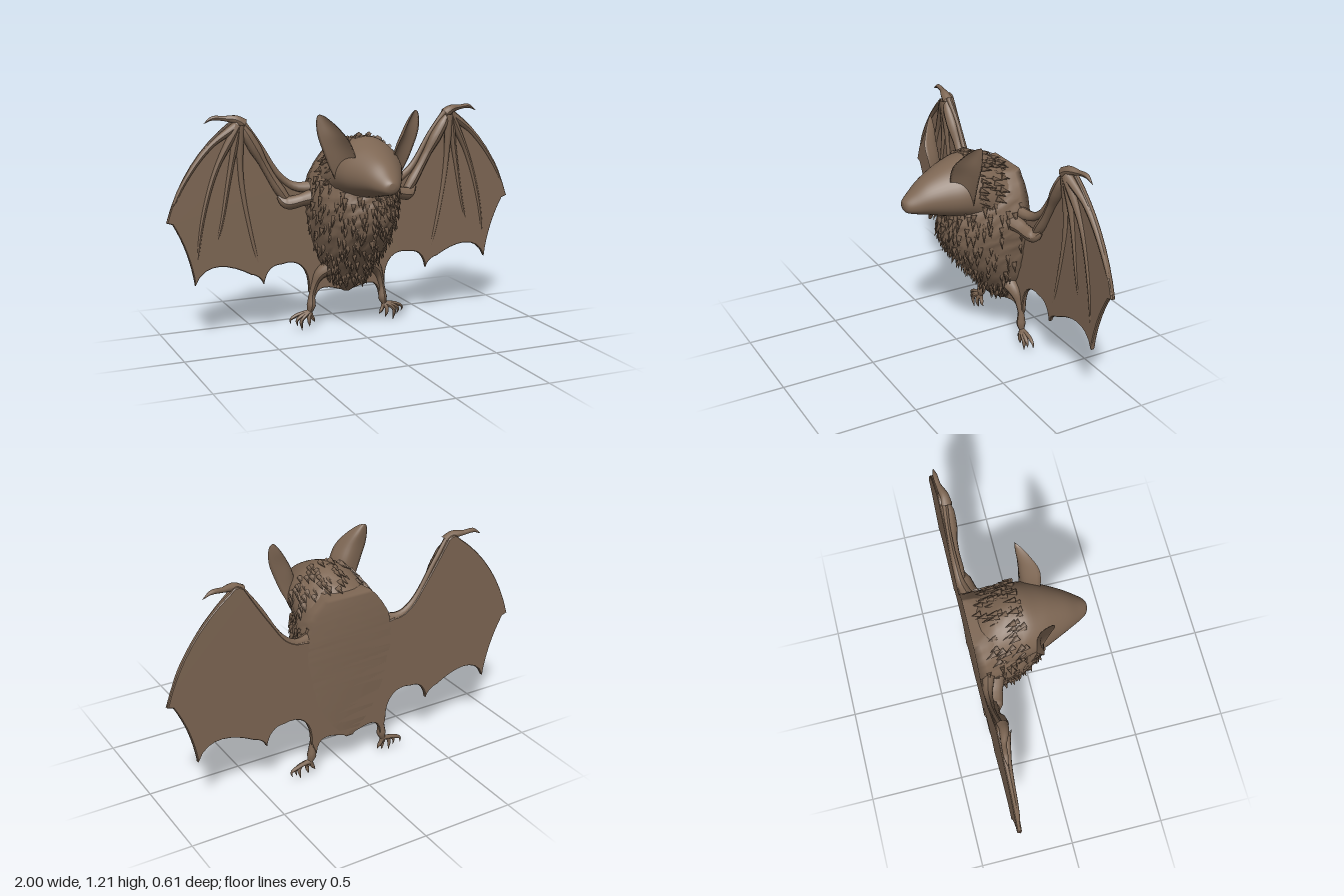
import * as THREE from 'three';
import { mergeGeometries } from 'three/addons/utils/BufferGeometryUtils.js';

const WALL = -0.3; // flat back plane

// Catmull-Rom refinement of a short table of section rows
function refine(rows, steps) {
  const out = [];
  const at = i => rows[Math.max(0, Math.min(rows.length - 1, i))];
  for (let i = 0; i < rows.length - 1; i++) {
    for (let s = 0; s < steps; s++) {
      const t = s / steps, a = at(i - 1), b = at(i), c = at(i + 1), d = at(i + 2);
      out.push(b.map((_, k) => b[k] + 0.5 * t * (c[k] - a[k] + t * (2 * a[k] - 5 * b[k] + 4 * c[k] - d[k]
        + t * (3 * (b[k] - c[k]) + d[k] - a[k])))));
    }
  }
  out.push(rows[rows.length - 1]);
  return out;
}

// Closed skin over rings of Vector3, capped at both ends, always facing outwards
function loft(rings) {
  const n = rings[0].length, m = rings.length, pts = rings.flat(), idx = [];
  for (let i = 0; i < m - 1; i++) for (let j = 0; j < n; j++) {
    const a = i * n + j, b = i * n + (j + 1) % n;
    idx.push(a, b, a + n, b, b + n, a + n);
  }
  const middle = ring => ring.reduce((s, p) => s.add(p), new THREE.Vector3()).divideScalar(n);
  const c0 = pts.push(middle(rings[0])) - 1, c1 = pts.push(middle(rings[m - 1])) - 1;
  for (let j = 0; j < n; j++) {
    const k = (j + 1) % n, e = (m - 1) * n;
    idx.push(c0, k, j, c1, e + j, e + k);
  }
  let volume = 0;
  const cross = new THREE.Vector3();
  for (let i = 0; i < idx.length; i += 3)
    volume += cross.crossVectors(pts[idx[i]], pts[idx[i + 1]]).dot(pts[idx[i + 2]]);
  if (volume < 0) idx.reverse();
  const g = new THREE.BufferGeometry().setFromPoints(pts);
  g.setIndex(idx);
  g.computeVertexNormals();
  return g;
}

// Tube whose radius follows a list, kept in front of the back plane
function taperedTube(points, radii, segments = 20, sides = 10) {
  const curve = new THREE.CatmullRomCurve3(points.map(p => new THREE.Vector3(...p)));
  const g = new THREE.TubeGeometry(curve, segments, 1, sides);
  const pos = g.attributes.position, v = new THREE.Vector3();
  for (let i = 0; i < pos.count; i++) {
    const t = Math.floor(i / (sides + 1)) / segments, f = t * (radii.length - 1);
    const k = Math.min(radii.length - 2, Math.floor(f));
    const r = THREE.MathUtils.lerp(radii[k], radii[k + 1], f - k);
    const c = curve.getPointAt(t);
    v.fromBufferAttribute(pos, i).sub(c).multiplyScalar(r).add(c);
    pos.setXYZ(i, v.x, v.y, Math.max(WALL, v.z));
  }
  g.computeVertexNormals();
  return g;
}

function seeded(seed) {
  return () => (seed = (seed * 16807) % 2147483647) / 2147483647;
}

// Small pointed locks scattered over a surface, lying along a direction
function furTufts(surface, count, flow, accept, seed) {
  const rand = seeded(seed), pos = surface.attributes.position, nor = surface.attributes.normal;
  const p = new THREE.Vector3(), n = new THREE.Vector3(), up = new THREE.Vector3(0, 1, 0), locks = [];
  for (let tries = 0; locks.length < count && tries < 20000; tries++) {
    const i = Math.floor(rand() * pos.count);
    p.fromBufferAttribute(pos, i);
    n.fromBufferAttribute(nor, i);
    if (!accept(p)) continue;
    const dir = flow.clone().addScaledVector(n, 0.4).normalize();
    const g = new THREE.ConeGeometry(0.012 + 0.006 * rand(), 0.045 + 0.02 * rand(), 5);
    g.applyQuaternion(new THREE.Quaternion().setFromUnitVectors(up, dir));
    p.addScaledVector(dir, 0.008);
    g.translate(p.x + (rand() - 0.5) * 0.015, p.y + (rand() - 0.5) * 0.02, p.z);
    locks.push(g);
  }
  return mergeGeometries(locks);
}

export function createModel() {
  const group = new THREE.Group();
  const brown = new THREE.MeshStandardMaterial({ color: 0x7d6653 });
  brown.name = 'brown';
  const add = (name, geometry) => {
    const mesh = new THREE.Mesh(geometry, brown);
    mesh.name = name;
    group.add(mesh);
  };

  // Torso: D-shaped sections [height, half width, front z]
  const rand = seeded(7);
  const torso = loft(refine([[0.2, 0.02, -0.275], [0.25, 0.065, -0.2], [0.3, 0.11, -0.16], [0.4, 0.17, -0.08],
    [0.5, 0.205, 0.005], [0.6, 0.225, 0.07], [0.68, 0.24, 0.095], [0.76, 0.24, 0.095], [0.84, 0.225, 0.075],
    [0.92, 0.19, 0.02], [1.0, 0.12, -0.04]], 4).map(([y, w, zf]) => {
    const ring = [];
    for (let j = 0; j <= 36; j++) {
      const a = Math.PI * j / 36, k = 1 + (rand() - 0.5) * 0.045;
      ring.push(new THREE.Vector3(w * k * Math.cos(a), y, WALL + (zf - WALL) * k * Math.pow(Math.max(0, Math.sin(a)), 0.85)));
    }
    return ring;
  }));
  add('torso', torso);
  add('torsoFur', furTufts(torso, 330, new THREE.Vector3(0, -1, 0),
    p => p.z > -0.27 && p.y > 0.27 && p.y < 0.84, 11));

  // Head and neck: sections along z [z, bottom, top, half width]
  const head = loft(refine([[-0.295, 0.72, 0.95, 0.2], [-0.22, 0.7, 1.025, 0.2], [-0.12, 0.71, 1.075, 0.195],
    [-0.03, 0.75, 1.085, 0.19], [0.05, 0.775, 1.06, 0.172], [0.12, 0.79, 1.03, 0.14], [0.2, 0.81, 0.985, 0.1],
    [0.26, 0.822, 0.935, 0.066], [0.295, 0.835, 0.905, 0.04], [0.307, 0.86, 0.89, 0.015]], 4).map(([z, lo, hi, w]) => {
    const ring = [], rough = z < -0.05 ? 0.03 : 0;
    for (let j = 0; j < 40; j++) {
      const a = Math.PI * 2 * j / 40, k = 1 + (rand() - 0.5) * rough;
      const s = Math.sin(a);
      ring.push(new THREE.Vector3(w * k * Math.cos(a) * (1 - 0.12 * s), (lo + hi) / 2 + (hi - lo) / 2 * k * s, z));
    }
    return ring;
  }));
  add('head', head);
  add('neckFur', furTufts(head, 130, new THREE.Vector3(0, -0.5, -0.8),
    p => p.z < -0.05 && p.z > -0.25 && p.y > 0.76, 23));

  // Wing, back and tail membrane in one scalloped plate
  const edge = new THREE.Path();
  edge.moveTo(0, 0.78);
  edge.quadraticCurveTo(0.16, 0.78, 0.26, 0.81);
  edge.quadraticCurveTo(0.35, 0.8, 0.42, 0.92);
  edge.quadraticCurveTo(0.51, 1.05, 0.58, 1.17);
  edge.quadraticCurveTo(0.62, 1.2, 0.645, 1.165);
  edge.quadraticCurveTo(0.9, 0.98, 0.995, 0.66);
  edge.lineTo(0.965, 0.65);
  edge.quadraticCurveTo(0.88, 0.5, 0.855, 0.315);
  edge.bezierCurveTo(0.8, 0.45, 0.66, 0.41, 0.55, 0.345);
  edge.quadraticCurveTo(0.5, 0.335, 0.48, 0.285);
  edge.quadraticCurveTo(0.46, 0.39, 0.38, 0.385);
  edge.bezierCurveTo(0.29, 0.41, 0.22, 0.36, 0.225, 0.22);
  edge.lineTo(0.195, 0.15);
  edge.bezierCurveTo(0.18, 0.27, 0.11, 0.23, 0, 0.2);
  const half = edge.getPoints(8);
  const mirrored = half.slice(1, -1).reverse().map(p => new THREE.Vector2(-p.x, p.y));
  const membrane = new THREE.ExtrudeGeometry(new THREE.Shape([...half, ...mirrored]), {
    depth: 0.014, bevelEnabled: true, bevelThickness: 0.005, bevelSize: 0.004, bevelOffset: -0.004, bevelSegments: 1 });
  membrane.translate(0, 0, WALL + 0.005);
  add('wingMembrane', membrane);

  for (const s of [1, -1]) {
    const side = s > 0 ? 'left' : 'right';
    const limb = (name, points, radii, segments) =>
      add(side + name, taperedTube(points.map(([x, y, z]) => [x * s, y, z]), radii, segments));

    // Arm bones, shoulder web and thumb claw
    limb('UpperArm', [[0.15, 0.77, -0.2], [0.25, 0.745, -0.225], [0.36, 0.725, -0.252], [0.4, 0.76, -0.265]],
      [0.055, 0.045, 0.034, 0.036, 0.01]);
    limb('Forearm', [[0.34, 0.72, -0.265], [0.42, 0.84, -0.27], [0.51, 1.0, -0.265], [0.585, 1.13, -0.258], [0.61, 1.175, -0.26]],
      [0.022, 0.03, 0.024, 0.024, 0.034, 0.03, 0.002]);
    limb('ShoulderWeb', [[0.2, 0.8, -0.25], [0.3, 0.805, -0.275], [0.38, 0.86, -0.28], [0.5, 1.05, -0.28], [0.59, 1.17, -0.27]],
      [0.035, 0.02, 0.014, 0.012, 0.015]);
    limb('ThumbClaw', [[0.58, 1.15, -0.265], [0.62, 1.175, -0.265], [0.68, 1.182, -0.28], [0.74, 1.185, -0.285], [0.785, 1.16, -0.285]],
      [0.03, 0.022, 0.013, 0.012, 0.001]);

    // Finger bones fanning out from the wrist
    const fingers = [
      [[0.61, 1.15, -0.26], [0.76, 1.04, -0.276], [0.9, 0.86, -0.28], [0.995, 0.66, -0.285]],
      [[0.61, 1.15, -0.255], [0.73, 0.92, -0.276], [0.81, 0.65, -0.28], [0.855, 0.32, -0.285]],
      [[0.61, 1.15, -0.255], [0.66, 0.88, -0.276], [0.71, 0.62, -0.282], [0.77, 0.42, -0.288]],
      [[0.605, 1.15, -0.255], [0.595, 0.85, -0.276], [0.545, 0.55, -0.28], [0.482, 0.29, -0.285]]];
    fingers.forEach((f, i) => limb('Finger' + (i + 1), f, [0.026, 0.015, 0.012, 0.01, 0.003], 28));

    // Leg, foot and curved toes
    limb('Leg', [[0.1, 0.36, -0.25], [0.17, 0.31, -0.265], [0.207, 0.21, -0.278], [0.215, 0.13, -0.278], [0.235, 0.075, -0.278]],
      [0.05, 0.035, 0.02, 0.016, 0.025, 0.004]);
    const toes = [[0.335, 0.045, -0.285], [0.302, 0.035, -0.27], [0.277, 0.008, -0.265], [0.232, 0.025, -0.268], [0.198, 0.045, -0.28]];
    toes.forEach(([x, y, z], i) => limb('Toe' + (i + 1),
      [[0.222, 0.105, -0.278], [0.232 + (x - 0.232) * 0.6, 0.093 - 0.004 * i, z + 0.003], [x, 0.07 - 0.004 * i, z + 0.005], [x - 0.005, y, z]],
      [0.014, 0.011, 0.01, 0.001], 14));

    // Cupped ear: rows [y, inner x, inner z, outer x, outer z, bulge]
    const ear = loft(refine([[0.87, 0.11, 0.06, 0.18, 0.0, 0.025], [0.95, 0.1, 0.085, 0.222, 0.01, 0.035],
      [1.03, 0.118, 0.1, 0.255, 0.015, 0.045], [1.1, 0.155, 0.1, 0.28, 0.015, 0.045], [1.16, 0.2, 0.068, 0.288, 0.012, 0.034],
      [1.2, 0.24, 0.035, 0.283, 0.008, 0.016], [1.213, 0.262, 0.015, 0.272, 0.008, 0.004]], 4).map(([y, xi, zi, xo, zo, d]) => {
      const ring = [], len = Math.hypot(xo - xi, zo - zi), nx = (zo - zi) / len, nz = (xi - xo) / len;
      const put = (t, depth) => ring.push(new THREE.Vector3(
        s * (xi + (xo - xi) * t + nx * depth), y, zi + (zo - zi) * t + nz * depth));
      for (let j = 0; j <= 12; j++) put(j / 12, d * Math.sin(Math.PI * j / 12) * 1.1);
      for (let j = 11; j > 0; j--) put(j / 12, (d * 0.6 - 0.002) * Math.sin(Math.PI * j / 12));
      return ring;
    }));
    add(side + 'Ear', ear);
  }
  return group;
}
